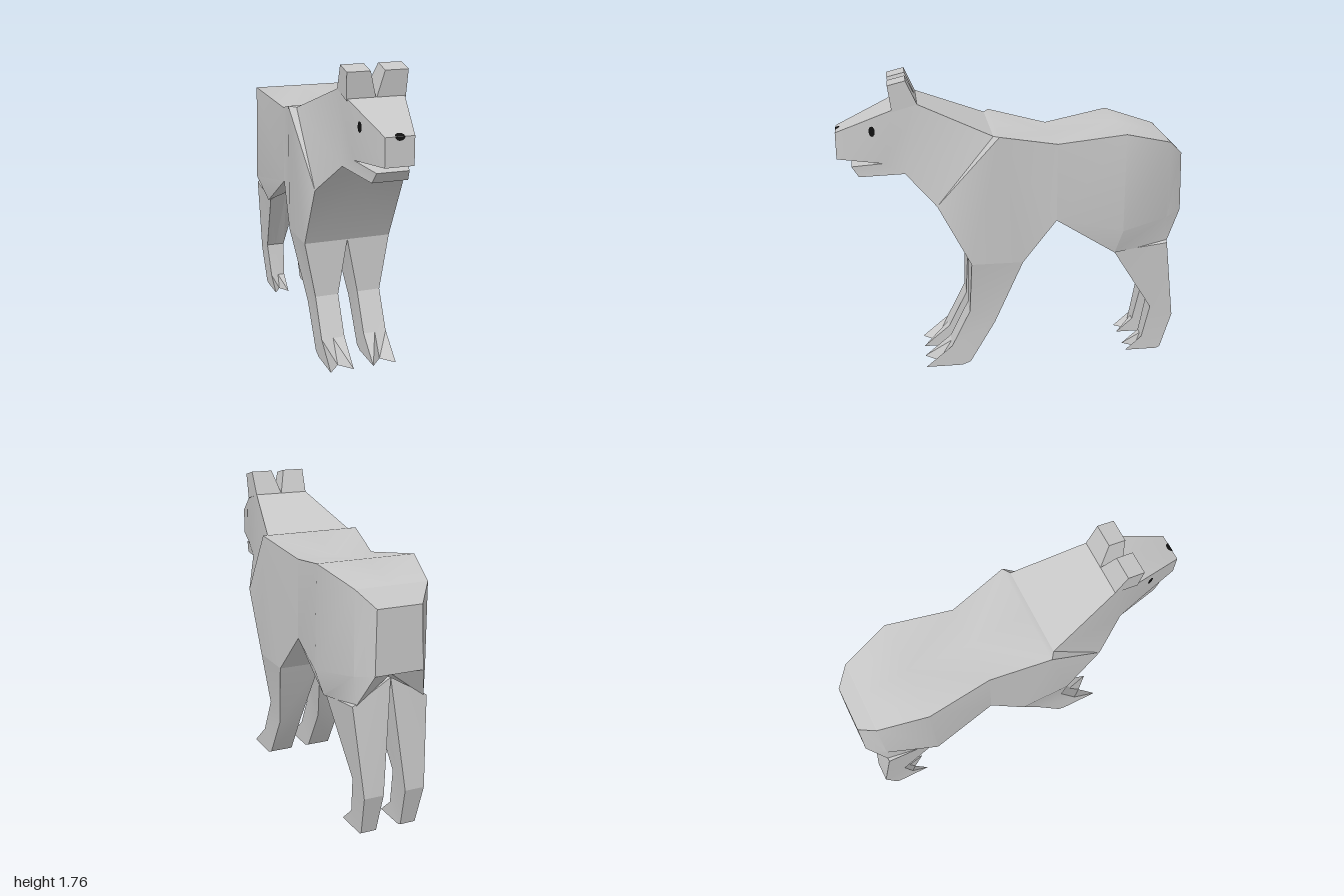
import * as THREE from 'three';
import { toCreasedNormals } from 'three/addons/utils/BufferGeometryUtils.js';

const grey = new THREE.MeshStandardMaterial({ color: 0xc8c8c8 });
grey.name = 'light grey coat';
const black = new THREE.MeshStandardMaterial({ color: 0x111111 });
black.name = 'black nose and eyes';

function named(geometry, material, name) {
  const mesh = new THREE.Mesh(geometry, material);
  mesh.name = name;
  return mesh;
}

function fromTriangles(tris, crease) {
  const geo = new THREE.BufferGeometry();
  geo.setAttribute('position', new THREE.Float32BufferAttribute(tris.flat(2), 3));
  return toCreasedNormals(geo, crease);
}

const fan = (pts) => pts.slice(2).map((p, i) => [pts[0], pts[i + 1], p]);
const mirrorTriangles = (tris) =>
  tris.map((t) => t.map(([x, y, z]) => [-x, y, z]).reverse());

// Torso and head: side points as [z, y, half width, height on the centre line]
const P = {
  crown: [0.54, 1.63, 0.165], nape: [0.13, 1.46, 0.26], shoulder: [0.1, 1.465, 0.3],
  loin: [-0.24, 1.39, 0.23], hip: [-0.62, 1.45, 0.29], croup: [-0.9, 1.37, 0.21],
  tail: [-0.99, 1.28, 0.13], rump: [-1, 0.93, 0.14], thigh: [-0.9, 0.91, 0.21],
  flank: [-0.62, 0.87, 0.3], hamBack: [-0.91, 0.75, 0.2, 0.9], hamFront: [-0.59, 0.71, 0.235, 0.82],
  belly: [-0.24, 0.93, 0.23], elbow: [-0.04, 0.69, 0.26], chestLow: [0.26, 0.69, 0.26],
  chest: [0.45, 1.06, 0.26], throat: [0.62, 1.23, 0.165], chin: [0.88, 1.2, 0.1],
  lip: [0.92, 1.26, 0.09], mouth: [0.74, 1.29, 0.145], snoutLow: [1, 1.305, 0.08],
  snoutTop: [1, 1.46, 0.08], brow: [0.68, 1.6, 0.16],
};

function bodyGeometry() {
  const outline = ('crown nape shoulder loin hip croup tail rump hamBack hamFront belly elbow ' +
    'chestLow chest throat chin lip mouth snoutLow snoutTop brow').split(' ');
  const sides = [
    'crown nape throat', 'nape chest throat', 'nape shoulder chest',
    'shoulder chestLow chest', 'shoulder elbow chestLow', 'shoulder belly elbow',
    'shoulder loin belly', 'loin hip flank belly', 'hip croup thigh flank',
    'croup tail rump thigh', 'thigh rump hamBack', 'flank thigh hamBack hamFront',
    'belly flank hamFront', 'brow crown throat mouth', 'snoutTop brow mouth snoutLow',
    'mouth throat chin lip',
  ];
  const side = (n) => [P[n][2], P[n][1], P[n][0]];
  const centre = (n) => [0, P[n][3] ?? P[n][1], P[n][0]];
  const tris = [];
  for (const face of sides) tris.push(...fan(face.split(' ').map(side).reverse()));
  // strips from the side outline to the centre line
  outline.forEach((a, i) => {
    const b = outline[(i + 1) % outline.length];
    tris.push(...fan([side(a), side(b), centre(b), centre(a)]));
  });
  return fromTriangles([...tris, ...mirrorTriangles(tris)], 0.5);
}

// Limb from rings, top to bottom: front and back [z, y], inner and outer x
function limb(rings, sign) {
  const loops = rings.map(({ f, b, xi, xo, lift = 0, notch = 0 }) => [
    [xo, b[1], b[0]], [xo, f[1], f[0]],
    [(xi + xo) / 2, f[1] + lift / 2, f[0] - notch],
    [xi, f[1] + lift, f[0]], [xi, b[1] + lift, b[0]],
  ]);
  const tris = [];
  for (let r = 0; r < loops.length - 1; r++) {
    for (let i = 0; i < 5; i++) {
      const j = (i + 1) % 5;
      tris.push(...fan([loops[r][i], loops[r][j], loops[r + 1][j], loops[r + 1][i]]));
    }
  }
  const capOrder = [2, 3, 4, 0, 1];
  tris.push(...fan(capOrder.map((i) => loops.at(-1)[i])));
  tris.push(...fan(capOrder.map((i) => loops[0][i]).reverse()));
  return fromTriangles(sign > 0 ? tris : mirrorTriangles(tris), 0.25);
}

const FRONT_LEG = [
  { f: [0.26, 0.69], b: [-0.04, 0.69], xi: 0, xo: 0.26 },
  { f: [0.27, 0.36], b: [0.12, 0.28], xi: 0.06, xo: 0.2 },
  { f: [0.38, 0.135], b: [0.27, 0.02], xi: 0.06, xo: 0.2 },
  { f: [0.54, 0], b: [0.32, 0], xi: 0.06, xo: 0.2, notch: 0.08 },
];
const HIND_LEG = [
  { f: [-0.59, 0.71], b: [-0.91, 0.75], xi: 0, xo: 0.22, lift: 0.13 },
  { f: [-0.84, 0.31], b: [-0.98, 0.25], xi: 0.065, xo: 0.18 },
  { f: [-0.8, 0.1], b: [-0.92, 0.02], xi: 0.075, xo: 0.165 },
  { f: [-0.7, 0.01], b: [-0.9, 0.01], xi: 0.075, xo: 0.165, notch: 0.07 },
];
const EAR = [
  { f: [0.7, 1.74], b: [0.6, 1.765], xi: 0.04, xo: 0.17 },
  { f: [0.68, 1.59], b: [0.54, 1.63], xi: 0, xo: 0.165 },
];

export function createModel() {
  const model = new THREE.Group();
  model.name = 'wolf';
  model.add(named(bodyGeometry(), grey, 'bodyAndHead'));

  for (const [sign, label] of [[1, 'left'], [-1, 'right']]) {
    model.add(named(limb(FRONT_LEG, sign), grey, label + 'FrontLeg'));
    model.add(named(limb(HIND_LEG, sign), grey, label + 'HindLeg'));
    model.add(named(limb(EAR, sign), grey, label + 'Ear'));

    // eye plate lying on the tapering cheek
    const eye = named(new THREE.CircleGeometry(0.03, 12), black, label + 'Eye');
    eye.scale.x = 0.6;
    eye.position.set(sign * 0.135, 1.475, 0.795);
    eye.rotation.y = sign * (Math.PI / 2 - Math.atan(0.25));
    model.add(eye);
  }

  // nose folded over the front edge of the snout
  const nose = new THREE.Group();
  nose.name = 'nose';
  const front = named(new THREE.CircleGeometry(0.027, 12, Math.PI, Math.PI), black, 'noseFront');
  front.scale.y = 0.8;
  front.position.set(0, 1.461, 1.002);
  const top = named(new THREE.CircleGeometry(0.027, 12, 0, Math.PI), black, 'noseTop');
  top.position.set(0, 1.463, 1.001);
  top.rotation.x = -Math.PI / 2 + Math.atan(0.14 / 0.32);
  nose.add(front, top);
  model.add(nose);
  return model;
}
